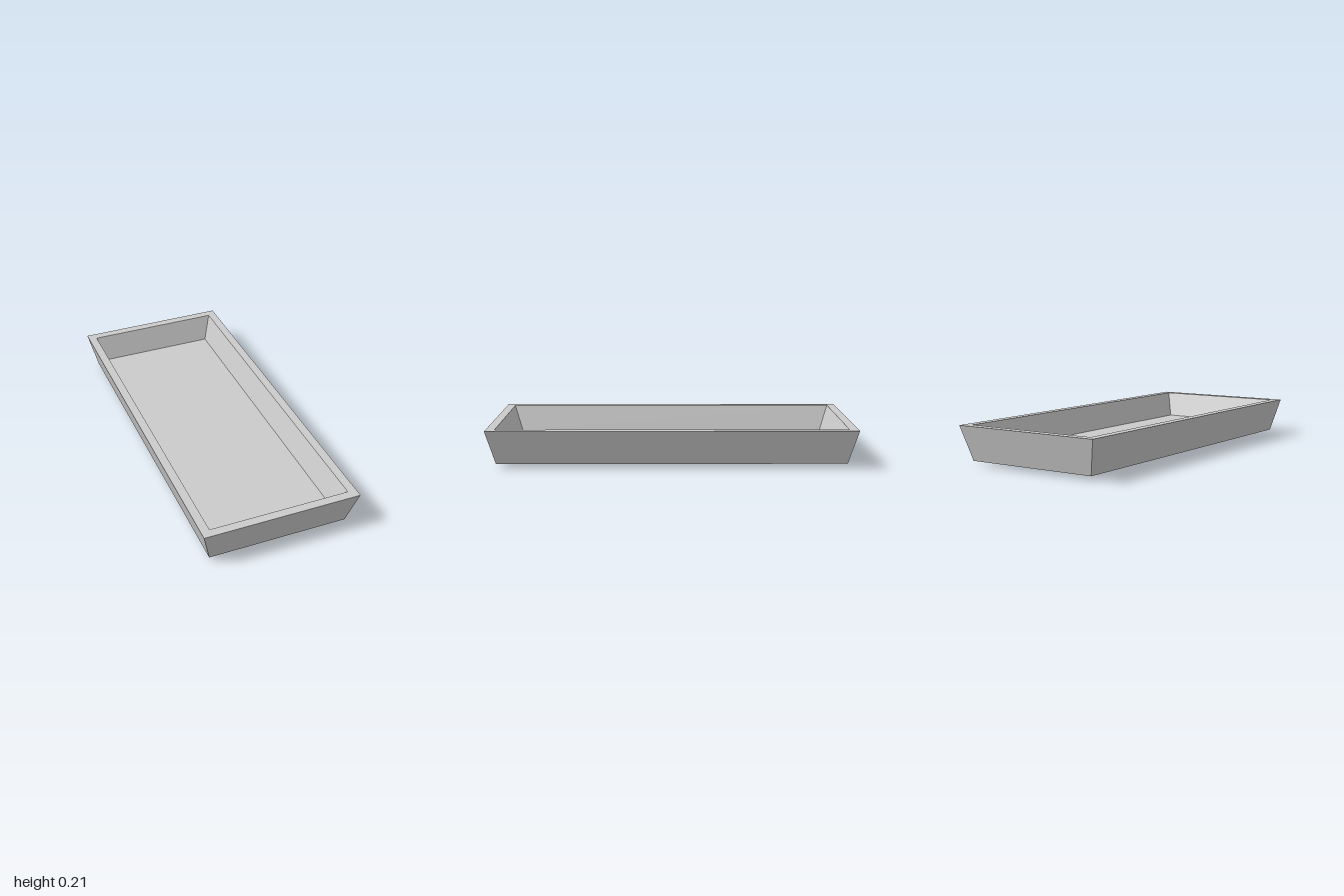
import * as THREE from 'three';

const material = new THREE.MeshStandardMaterial({ color: 0xcccccc, flatShading: true });
const BASE_Y = 0.023;

// Rectangular loops: half width, height, half length
const OUTER_BOTTOM = [0.38, BASE_Y, 0.95];
const OUTER_TOP = [0.427, 0.212, 1];
const INNER_TOP = [0.38, 0.212, 0.952];
const INNER_FLOOR = [0.334, 0.069, 0.904];

const corners = ([w, y, l]) => [[-w, y, l], [w, y, l], [w, y, -l], [-w, y, -l]];

function quadMesh(name, quads) {
  const points = quads.flatMap(([a, b, c, d]) => [a, b, c, a, c, d]).flat();
  const geometry = new THREE.BufferGeometry();
  geometry.setAttribute('position', new THREE.Float32BufferAttribute(points, 3));
  geometry.computeVertexNormals();
  const mesh = new THREE.Mesh(geometry, material);
  mesh.name = name;
  return mesh;
}

// Band of four quads joining one rectangular loop to the next
function band(name, from, to) {
  const a = corners(from), b = corners(to);
  return quadMesh(name, a.map((p, i) => [p, a[(i + 1) % 4], b[(i + 1) % 4], b[i]]));
}

// Underside: a flat grid with small faceted lumps hanging below it
function underside() {
  const lumps = [ // x, z, depth
    [-0.076, -0.142, 0.023], [0.076, -0.76, 0.02], [0.228, 0.047, 0.013],
    [-0.228, -0.57, 0.012], [0.152, -0.665, 0.014], [0.304, -0.475, 0.009],
    [-0.228, -0.142, 0.01], [-0.076, 0.38, 0.008], [0.304, 0.237, 0.007],
    [0.076, 0.665, 0.009], [0.076, 0.855, 0.005], [-0.152, -0.807, 0.01],
    [0.076, -0.047, 0.011], [-0.304, 0.617, 0.006], [0.152, 0.237, 0.008],
  ];
  const geometry = new THREE.PlaneGeometry(0.76, 1.9, 10, 40).rotateX(Math.PI / 2);
  const p = geometry.attributes.position;
  for (let i = 0; i < p.count; i++) {
    const x = p.getX(i), z = p.getZ(i);
    const edge = Math.abs(x) > 0.37 || Math.abs(z) > 0.94;
    let depth = 0;
    for (const [lx, lz, d] of lumps) {
      depth = Math.max(depth, d * (1 - Math.hypot((x - lx) / 0.076, (z - lz) / 0.08)));
    }
    p.setY(i, BASE_Y - (edge ? 0 : depth));
  }
  geometry.computeVertexNormals();
  const mesh = new THREE.Mesh(geometry, material);
  mesh.name = 'roughUnderside';
  return mesh;
}

export function createModel() {
  const tray = new THREE.Group();
  tray.name = 'tray';
  tray.add(
    band('outerWalls', OUTER_BOTTOM, OUTER_TOP),
    band('rim', OUTER_TOP, INNER_TOP),
    band('innerWalls', INNER_TOP, INNER_FLOOR),
    quadMesh('floor', [corners(INNER_FLOOR)]),
    underside(),
  );
  return tray;
}
